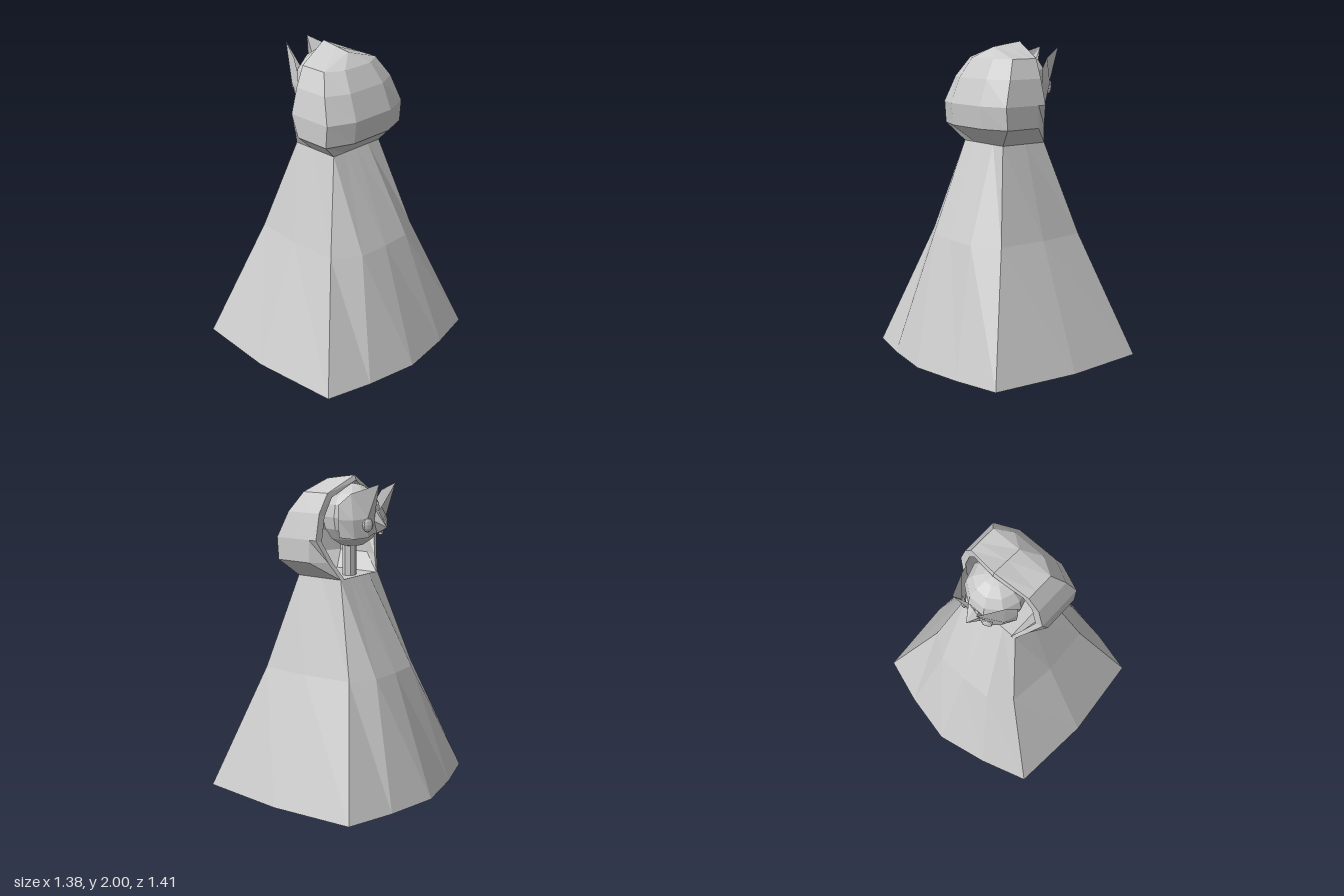
import * as THREE from 'three';

const grey = new THREE.MeshStandardMaterial({ color: 0xcccccc, flatShading: true, side: THREE.DoubleSide });

function named(name, geometry) {
  const mesh = new THREE.Mesh(geometry, grey);
  mesh.name = name;
  return mesh;
}

// Skin rows of [x, y, z] points; rows with equal counts, optionally closed into loops
function loft(rows, closed = false) {
  const pos = [];
  const n = rows[0].length;
  const tri = (...pts) => {
    const [a, b, c] = pts.map((p) => new THREE.Vector3(...p));
    if (new THREE.Triangle(a, b, c).getArea() > 1e-7) pts.forEach((p) => pos.push(...p));
  };
  for (let i = 0; i < rows.length - 1; i++) {
    for (let j = 0; j < (closed ? n : n - 1); j++) {
      const k = (j + 1) % n;
      const a = rows[i][j], b = rows[i][k], c = rows[i + 1][k], d = rows[i + 1][j];
      tri(a, d, c);
      tri(a, c, b);
    }
  }
  const g = new THREE.BufferGeometry();
  g.setAttribute('position', new THREE.Float32BufferAttribute(pos, 3));
  g.computeVertexNormals();
  return g;
}

// Complete a left-hand half row with its mirror image
const mirror = (half) => [...half, ...half.map(([x, y, z]) => [-x, y, z]).reverse()];

export function createModel() {
  const model = new THREE.Group();

  // Flared cloak: each ring runs from the -z middle round the +x side to the +z middle
  const ring = (y, half) => mirror(half.map(([x, z]) => [x, y, z]));
  const hem = ring(0, [[0, -0.71], [0.34, -0.64], [0.65, -0.54], [0.69, 0], [0.635, 0.57], [0.34, 0.645], [0, 0.7]]);
  const waist = ring(0.78, [[0, -0.43], [0.2, -0.42], [0.345, -0.32], [0.38, 0], [0.365, 0.32], [0.2, 0.43], [0, 0.44]]);
  const collar = ring(1.37, [[0, -0.15], [0.1, -0.15], [0.2, -0.15], [0.2, 0], [0.2, 0.18], [0.1, 0.18], [0, 0.18]]);
  const centre = (y) => hem.map(() => [0, y, 0]);
  model.add(named('cloak', loft([centre(0), hem, waist, collar, centre(1.37)], true)));

  // Hood half rows: opening edge, cheek, side, then crown facing +z
  const hoodHalf = [
    [[0.2, 1.37, -0.15], [0.2, 1.37, -0.02], [0.2, 1.37, 0.18], [0.1, 1.37, 0.18]],
    [[0.26, 1.48, -0.1], [0.325, 1.48, 0], [0.325, 1.48, 0.24], [0.15, 1.48, 0.305]],
    [[0.325, 1.62, -0.055], [0.325, 1.62, 0], [0.325, 1.62, 0.25], [0.15, 1.62, 0.32]],
    [[0.285, 1.78, -0.05], [0.285, 1.78, 0], [0.285, 1.78, 0.19], [0.14, 1.78, 0.26]],
    [[0.22, 1.9, -0.065], [0.22, 1.9, 0], [0.22, 1.9, 0.12], [0.11, 1.9, 0.185]],
    [[0, 2, -0.11], [0, 1.985, 0], [0, 1.97, 0.1], [0, 1.97, 0.1]],
  ];
  const inset = ([x, y, z]) => [x * 0.86, 1.37 + (y - 1.37) * 0.95, z > 0 ? z * 0.85 : z - 0.01];
  const lining = hoodHalf.map((row) => row.map(inset));
  model.add(named('hood', loft(hoodHalf.map(mirror))));
  model.add(named('hoodLining', loft(lining.map((row) => mirror(row).reverse()))));

  // Lip joining hood and lining around the opening
  const edge = (rows) => {
    const up = rows.map((row) => row[0]);
    return [...up, ...up.map(([x, y, z]) => [-x, y, z]).reverse()];
  };
  model.add(named('hoodLip', loft([edge(hoodHalf), edge(lining)])));

  // Head and neck
  const head = named('head', new THREE.SphereGeometry(0.19, 10, 8));
  head.scale.y = 1.05;
  head.position.set(0, 1.75, -0.09);
  model.add(head);
  const neck = named('neck', new THREE.CylinderGeometry(0.045, 0.045, 0.22, 8));
  neck.position.set(0, 1.48, -0.07);
  model.add(neck);

  // Horned mask with a pointed nose, wrapped round the face
  const maskHalf = [
    [[0.19, 1.63, -0.13], [0.14, 1.62, -0.21], [0.08, 1.63, -0.27], [0.04, 1.65, -0.28], [0, 1.65, -0.28]],
    [[0.2, 1.74, -0.13], [0.17, 1.74, -0.22], [0.1, 1.75, -0.28], [0.045, 1.73, -0.29], [0, 1.69, -0.355]],
    [[0.2, 1.83, -0.13], [0.165, 1.9, -0.2], [0.09, 1.96, -0.355], [0.04, 1.81, -0.285], [0, 1.79, -0.29]],
  ];
  model.add(named('mask', loft(maskHalf.map((row) => mirror(row).reverse()))));

  // Oval eyes
  for (const side of [1, -1]) {
    const eye = named(side > 0 ? 'leftEye' : 'rightEye', new THREE.SphereGeometry(0.04, 10, 6));
    eye.scale.set(0.9, 1.1, 0.4);
    eye.position.set(side * 0.095, 1.71, -0.277);
    eye.rotation.y = -side * 0.5;
    model.add(eye);
  }

  return model;
}
